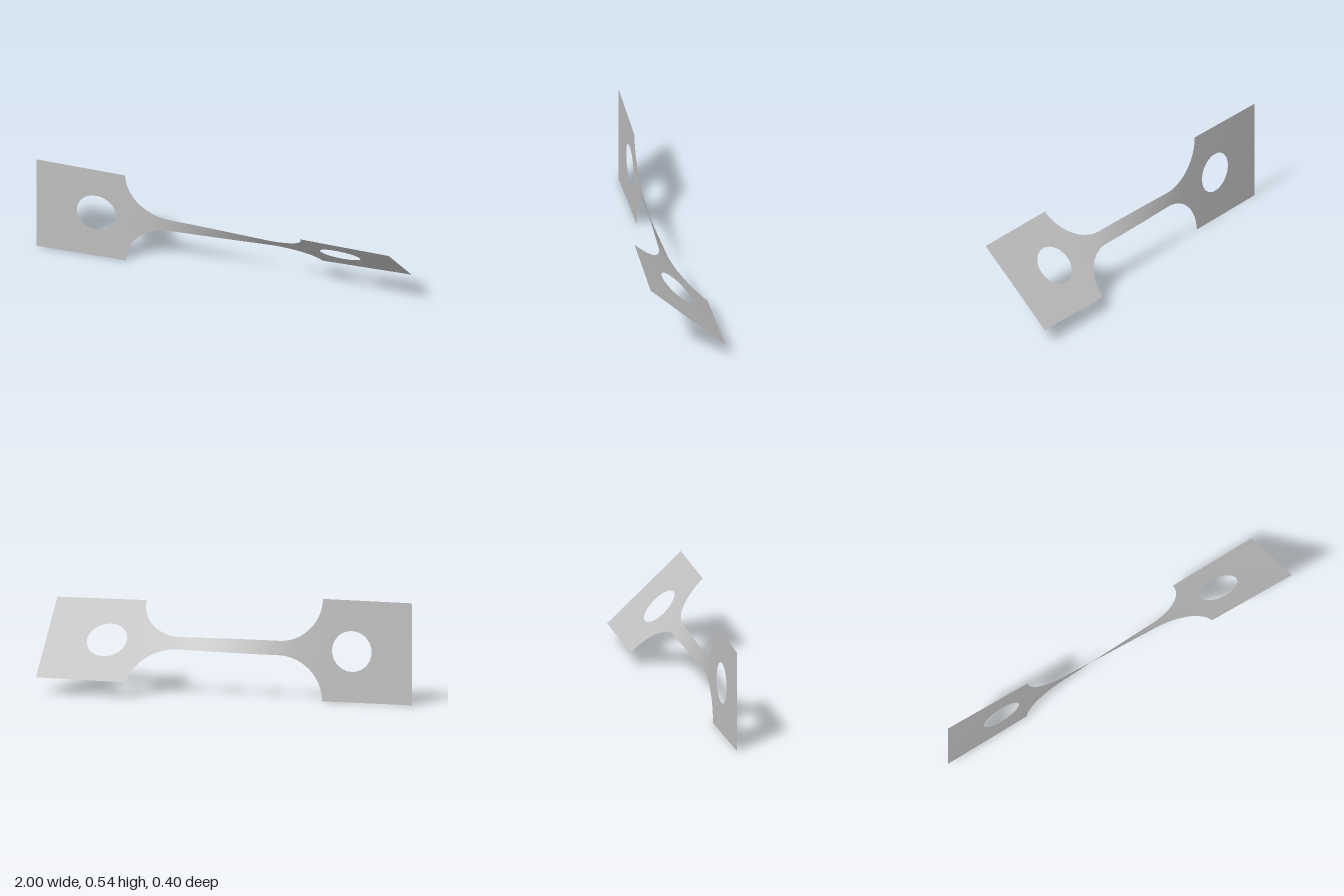
import * as THREE from 'three';
import { mergeVertices } from 'three/addons/utils/BufferGeometryUtils.js';

const MID_Y = 0.271;        // height of the long axis
const TAB = 0.271;          // half width of the end tabs
const NECK = 0.038;         // half width of the thin middle strip
const NECK_END = 0.27;      // where the fillets begin
const FILLET = 0.24;        // fillet radius
const HOLE_X = 0.67, HOLE_R = 0.108;
const TWIST = THREE.MathUtils.degToRad(47.4);

// Half width of the outline at a distance from the middle
function outerHalf(x) {
  const d = Math.abs(x) - NECK_END;
  if (d <= 0) return NECK;
  if (d >= FILLET) return TAB;
  return Math.min(TAB, NECK + FILLET - Math.sqrt(FILLET * FILLET - d * d));
}

// Half height of the hole
function holeHalf(x) {
  const d = Math.abs(x) - HOLE_X;
  return Math.sqrt(Math.max(0, HOLE_R * HOLE_R - d * d));
}

// Stations along the strip, closer together where the outline curves
function stations() {
  const half = [];
  for (let i = 1; i <= 16; i++) half.push(NECK_END * i / 16);
  for (let i = 1; i <= 24; i++) half.push(NECK_END + FILLET * Math.sin(Math.PI / 2 * i / 24));
  for (let i = 0; i <= 32; i++) half.push(HOLE_X - HOLE_R * Math.cos(Math.PI * i / 32));
  for (let i = 1; i <= 4; i++) half.push(HOLE_X + HOLE_R + (1 - HOLE_X - HOLE_R) * i / 4);
  return [...half.map(x => -x).reverse(), 0, ...half];
}

// The narrow strip turns most, the wide tabs hardly at all
function twistAngles(xs) {
  const sum = [0];
  const rate = x => Math.pow(NECK / outerHalf(x), 1.5);
  for (let i = 1; i < xs.length; i++) {
    sum.push(sum[i - 1] + rate((xs[i] + xs[i - 1]) / 2) * (xs[i] - xs[i - 1]));
  }
  return sum.map(s => TWIST * s / sum[sum.length - 1]);
}

// Sheet of straight cross-sections, above and below the centre line
function twistedSheet() {
  const xs = stations(), angles = twistAngles(xs), rows = 6;
  const positions = [], index = [];
  for (const side of [1, -1]) {
    const base = positions.length / 3;
    xs.forEach((x, i) => {
      const inner = holeHalf(x), outer = outerHalf(x);
      for (let j = 0; j <= rows; j++) {
        const r = side * (inner + (outer - inner) * j / rows);
        positions.push(x, MID_Y + r * Math.cos(angles[i]), r * Math.sin(angles[i]));
        if (i === 0 || j === 0) continue;
        const d = base + i * (rows + 1) + j, c = d - 1;
        const b = d - rows - 1, a = b - 1;
        if (side > 0) index.push(a, c, d, a, d, b);
        else index.push(a, d, c, a, b, d);
      }
    });
  }
  const geometry = new THREE.BufferGeometry();
  geometry.setAttribute('position', new THREE.Float32BufferAttribute(positions, 3));
  geometry.setIndex(index);
  const merged = mergeVertices(geometry, 1e-5);
  merged.computeVertexNormals();
  return merged;
}

export function createModel() {
  const group = new THREE.Group();
  group.name = 'twistedTestStrip';
  const metal = new THREE.MeshStandardMaterial({ color: 0xc0c0c0, side: THREE.DoubleSide });
  metal.name = 'light grey metal';
  const strip = new THREE.Mesh(twistedSheet(), metal);
  strip.name = 'twistedStrip';
  group.add(strip);
  return group;
}
